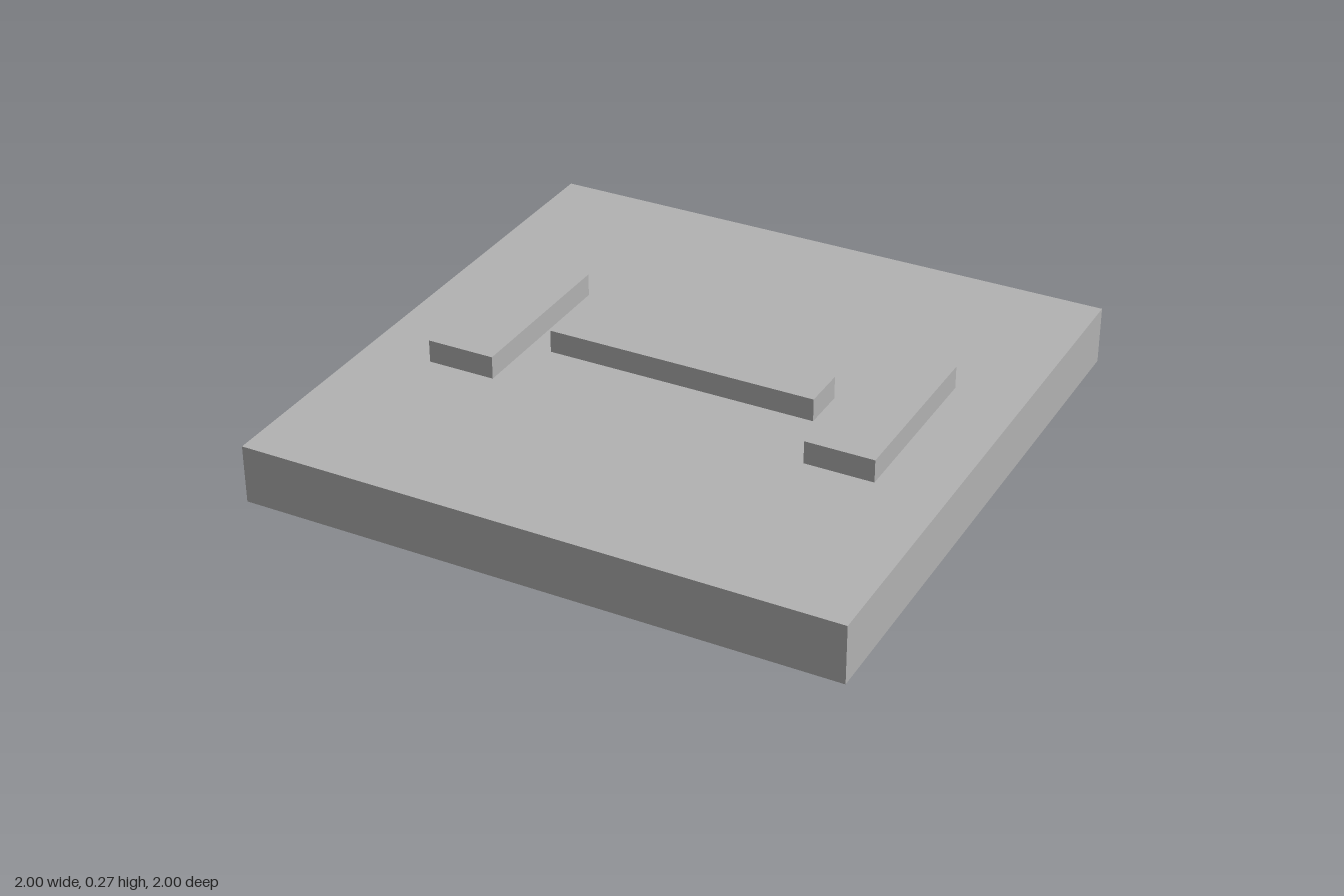
import * as THREE from 'three';

const BASE_TOP = 0.197;
const PAD_HEIGHT = 0.077;

export function createModel() {
  const model = new THREE.Group();
  model.name = 'slabWithRaisedBars';
  const grey = new THREE.MeshStandardMaterial({ color: 0xb2b2b2 });
  grey.name = 'grey';

  // A box standing on height y
  function addBox(name, width, height, depth, x, y) {
    const mesh = new THREE.Mesh(new THREE.BoxGeometry(width, height, depth), grey);
    mesh.name = name;
    mesh.position.set(x, y + height / 2, 0);
    model.add(mesh);
  }

  // Square base slab
  addBox('baseSlab', 2, BASE_TOP, 2, 0, 0);

  // Long bar across the middle
  addBox('centreBar', 0.923, PAD_HEIGHT, 0.154, 0, BASE_TOP);

  // Mirrored pads at either end of the bar
  for (const [name, side] of [['leftPad', 1], ['rightPad', -1]]) {
    addBox(name, 0.231, PAD_HEIGHT, 0.615, side * 0.654, BASE_TOP);
  }

  return model;
}
